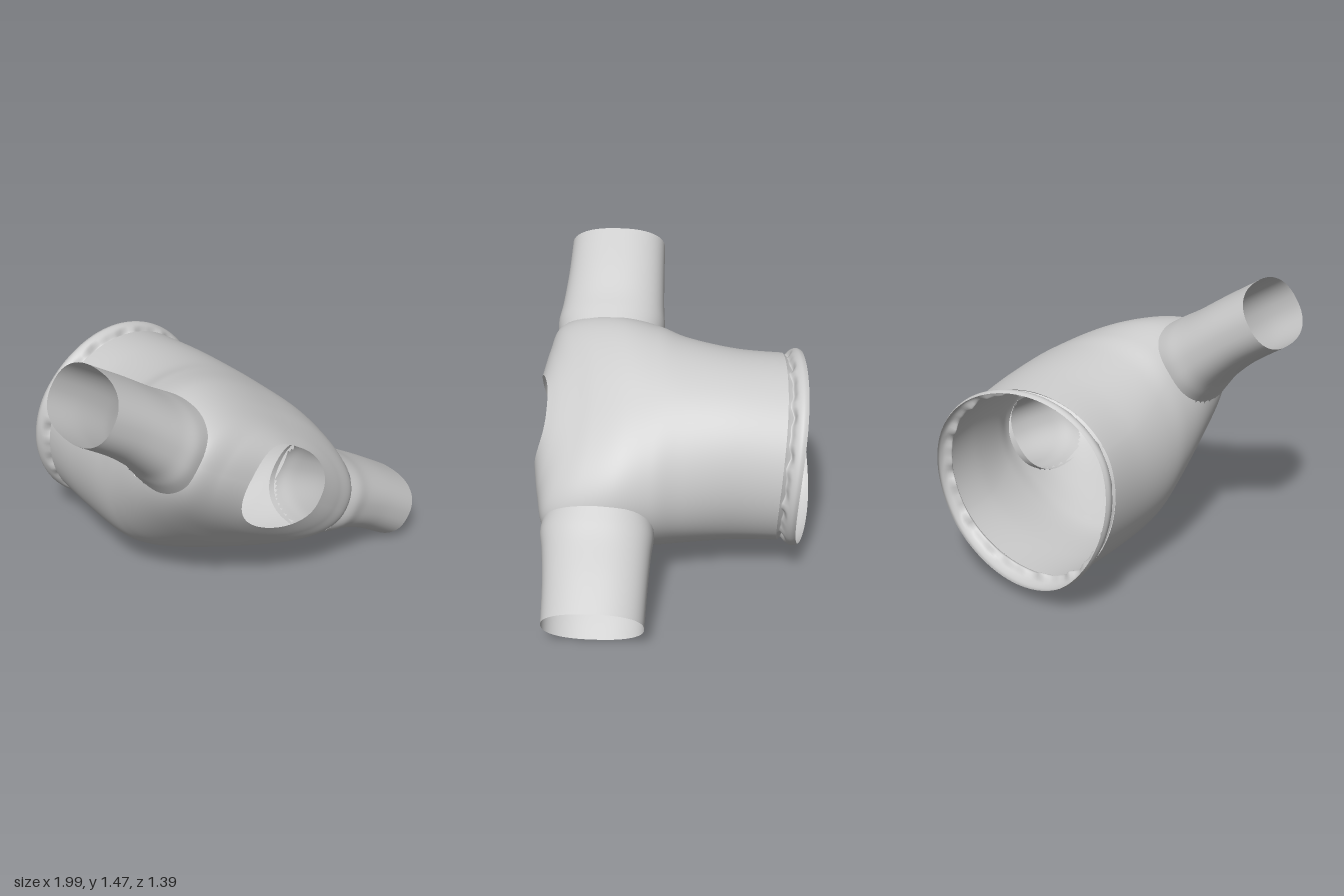
import * as THREE from 'three';

const TAU = Math.PI * 2;
const cloth = new THREE.MeshStandardMaterial({ color: 0xcccccc, side: THREE.DoubleSide });

// Closed-loop loft: point(t, angle) -> [x, y, z]; skip(x, y, z) leaves openings
function loft(name, rows, cols, point, skip = () => false) {
  const pos = [], index = [];
  for (let i = 0; i <= rows; i++) {
    for (let j = 0; j < cols; j++) pos.push(...point(i / rows, (j / cols) * TAU));
  }
  for (let i = 0; i < rows; i++) {
    for (let j = 0; j < cols; j++) {
      const k = (j + 1) % cols;
      const a = i * cols + j, b = i * cols + k, c = a + cols, d = b + cols;
      const mid = [0, 1, 2].map((n) => (pos[a * 3 + n] + pos[b * 3 + n] + pos[c * 3 + n] + pos[d * 3 + n]) / 4);
      if (!skip(...mid)) index.push(a, c, b, b, c, d);
    }
  }
  const geo = new THREE.BufferGeometry();
  geo.setAttribute('position', new THREE.Float32BufferAttribute(pos, 3));
  geo.setIndex(index);
  geo.computeVertexNormals();
  const mesh = new THREE.Mesh(geo, cloth);
  mesh.name = name;
  return mesh;
}

// Smooth interpolation through a short table of section parameters
function sampler(table) {
  const n = table.length - 1;
  return (t) => {
    const f = Math.min(t * n, n - 1e-6), i = Math.floor(f), w = f - i;
    const row = (k) => table[Math.max(0, Math.min(n, k))];
    return table[0].map((_, c) => {
      const [p, q, r, s] = [row(i - 1)[c], row(i)[c], row(i + 1)[c], row(i + 2)[c]];
      return q + 0.5 * w * (r - p + w * (2 * p - 5 * q + 4 * r - s + w * (3 * (q - r) + s - p)));
    });
  };
}

// Squared-off (e < 1) or pinched (e > 1) circle coordinates
const soft = (v, e) => Math.sign(v) * Math.pow(Math.abs(v), e);

// Torso sections: z at sides, z at chest and back, half width, bottom, top, widest height,
// upper and lower corner exponents
const torso = sampler([
  [0.69, 0.63, 0.252, -0.248, 0.183, -0.04, 0.75, 1],
  [0.665, 0.57, 0.41, -0.31, 0.215, -0.05, 0.82, 1],
  [0.625, 0.48, 0.55, -0.385, 0.25, -0.055, 0.82, 1],
  [0.5, 0.38, 0.605, -0.465, 0.285, -0.055, 0.8, 1],
  [0.3, 0.24, 0.605, -0.555, 0.315, -0.055, 0.8, 1],
  [0.1, 0.09, 0.57, -0.635, 0.325, -0.07, 0.92, 1],
  [-0.05, -0.05, 0.53, -0.68, 0.325, -0.12, 1, 1.02],
  [-0.3, -0.3, 0.49, -0.69, 0.31, -0.18, 1, 1.08],
  [-0.52, -0.56, 0.485, -0.68, 0.28, -0.195, 1, 1.1],
]);
const ARMHOLE = 0.57;

function torsoPoint(t, a) {
  const [zs, zc, hw, lo, hi, mid, upper, lower] = torso(t);
  const c = Math.cos(a), s = Math.sin(a);
  const e = s > 0 ? upper : lower;
  const x = THREE.MathUtils.clamp(hw * soft(c, e), -ARMHOLE, ARMHOLE);
  return [x, mid + soft(s, e) * (s > 0 ? hi - mid : mid - lo), zs + (zc - zs) * s * s];
}

// Sleeve sections: distance out, bottom, top, lower z, upper z
const sleeve = sampler([
  [0.53, -0.27, 0.17, 0.085, 0.63],
  [0.6, -0.24, 0.168, 0.08, 0.635],
  [0.7, -0.205, 0.165, 0.088, 0.618],
  [0.88, -0.175, 0.17, 0.095, 0.6],
  [1.08, -0.17, 0.17, 0.1, 0.592],
]);

// Hem band sections: depth toward the waved edge (0 to 1), radius
const band = sampler([[0, 0.485], [0.12, 0.475], [0.25, 0.47], [0.45, 0.5], [0.75, 0.512], [1, 0.503]]);

export function createModel() {
  const group = new THREE.Group();
  group.name = 'garment';

  const shirt = new THREE.Group();
  shirt.name = 'shirt';
  shirt.position.y = 0.741;
  shirt.rotation.z = -0.5796;
  group.add(shirt);

  // Torso with neck opening in front and armholes at the sides
  shirt.add(loft('torso', 96, 160, torsoPoint, (x, y, z) =>
    Math.abs(x) > 0.535 &&
    Math.abs((y + 0.05) / 0.208) ** 2.4 + Math.abs((z - 0.358) / 0.262) ** 2.4 < 1));

  // Sleeves, open at the cuff
  for (const side of [1, -1]) {
    shirt.add(loft(side > 0 ? 'leftSleeve' : 'rightSleeve', 28, 64, (t, a) => {
      const [u, lo, hi, z0, z1] = sleeve(t);
      return [
        side * u,
        (lo + hi) / 2 + ((hi - lo) / 2) * soft(Math.cos(a), 0.85),
        (z0 + z1) / 2 - side * ((z1 - z0) / 2) * soft(Math.sin(a), 0.85),
      ];
    }));
  }

  // Crinkled hem band with a waved open edge
  shirt.add(loft('hemBand', 20, 128, (t, a) => {
    const [d, r] = band(t);
    const c = Math.cos(a), s = Math.sin(a);
    const e = s > 0 ? 1 : 1.1;
    const start = -0.52 - 0.04 * s * s;
    const edge = -0.615 - 0.065 * s * s + 0.02 * s;
    const crinkle = Math.sin(Math.PI * Math.min(1, t * 1.6)) *
      (0.006 * Math.sin(a * 17) + 0.005 * Math.sin(a * 29 + 1));
    const radius = r + crinkle;
    return [radius * soft(c, e), -0.198 + radius * 0.98 * soft(s, e), start + (edge - start) * d + crinkle];
  }));

  return group;
}
